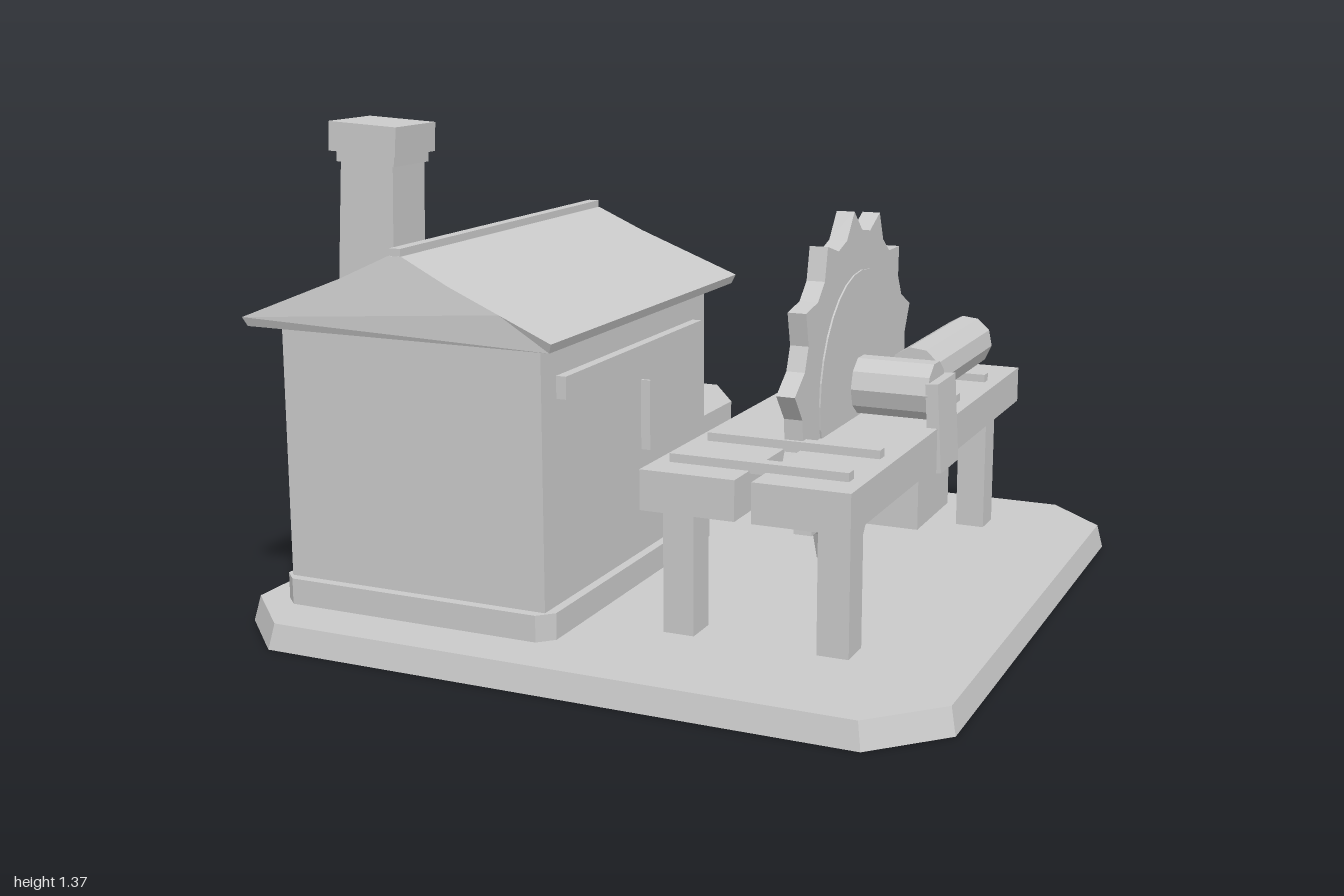
import * as THREE from 'three';

const material = new THREE.MeshStandardMaterial({ color: 0xcacaca, flatShading: true, side: THREE.DoubleSide });
material.name = 'plain grey';

export function createModel() {
  const model = new THREE.Group();
  model.name = 'sawmill';

  const add = (name, geometry, parent = model) => {
    const mesh = new THREE.Mesh(geometry, material);
    mesh.name = name;
    parent.add(mesh);
    return mesh;
  };
  // box from its limits on each axis
  const box = (name, x0, x1, y0, y1, z0, z1, parent) => {
    const g = new THREE.BoxGeometry(x1 - x0, y1 - y0, z1 - z0);
    g.translate((x0 + x1) / 2, (y0 + y1) / 2, (z0 + z1) / 2);
    return add(name, g, parent);
  };
  // move every vertex by a rule
  const bend = (g, rule) => {
    const p = g.attributes.position;
    const v = new THREE.Vector3();
    for (let i = 0; i < p.count; i++) {
      rule(v.fromBufferAttribute(p, i));
      p.setXYZ(i, v.x, v.y, v.z);
    }
    g.computeVertexNormals();
    return g;
  };
  // rectangle with cut corners
  const cutOutline = (w, d, cut) => {
    const a = w / 2, b = d / 2;
    return [[-a + cut, -b], [a - cut, -b], [a, -b + cut], [a, b - cut],
      [a - cut, b], [-a + cut, b], [-a, b - cut], [-a, -b + cut]].map(([x, y]) => new THREE.Vector2(x, y));
  };

  // Base: a hollow tray turned over, open below, slightly narrower at the top
  const base = new THREE.Group();
  base.name = 'base';
  model.add(base);
  const outline = cutOutline(2, 1.965, 0.175);
  const upper = outline.map((p) => p.clone().multiplyScalar(0.985));
  add('baseTop', new THREE.ShapeGeometry(new THREE.Shape(upper)).rotateX(-Math.PI / 2).translate(0, 0.07, 0), base);
  const rim = [];
  outline.forEach((p, i) => {
    const j = (i + 1) % outline.length;
    const a = [p.x, 0, -p.y], b = [outline[j].x, 0, -outline[j].y];
    const c = [upper[j].x, 0.07, -upper[j].y], d = [upper[i].x, 0.07, -upper[i].y];
    rim.push(...a, ...b, ...c, ...a, ...c, ...d);
  });
  const rimGeometry = new THREE.BufferGeometry();
  rimGeometry.setAttribute('position', new THREE.Float32BufferAttribute(rim, 3));
  rimGeometry.computeVertexNormals();
  add('baseRim', rimGeometry, base);

  // House
  const house = new THREE.Group();
  house.name = 'house';
  model.add(house);
  const plinth = new THREE.ExtrudeGeometry(new THREE.Shape(cutOutline(0.828, 1.065, 0.04)),
    { depth: 0.077, bevelEnabled: false });
  add('plinth', plinth.rotateX(-Math.PI / 2).translate(-0.486, 0.065, 0.285), house);
  box('walls', -0.877, -0.098, 0.1, 0.85, -0.225, 0.79, house);

  // Roof with a gentle sag and gables that lean inwards
  const half = [[0.45, 0.84], [0.46, 0.865], [0.31, 0.925], [0.16, 0.985], [0.02, 1.05]];
  const roofPts = [...half, ...half.map(([x, y]) => [-x, y]).reverse()];
  const roofShape = new THREE.Shape(roofPts.map(([x, y]) => new THREE.Vector2(x, y)));
  const roof = new THREE.ExtrudeGeometry(roofShape, { depth: 1, bevelEnabled: false });
  add('roof', bend(roof, (v) => {
    const reach = v.y < 0.85 ? 0.573 : 0.583 - (v.y - 0.865) * 0.16;
    v.z = 0.283 + (v.z > 0.5 ? reach : -reach);
    v.x -= 0.487;
  }), house);
  box('ridgeBeam', -0.503, -0.471, 1.03, 1.07, -0.272, 0.835, house);

  // Narrow shutters and wall plank
  box('sideShutter', -0.11, -0.07, 0.44, 0.64, 0.205, 0.213, house);
  box('backShutter', -0.234, -0.226, 0.44, 0.64, -0.24, -0.22, house);
  box('wallPlank', -0.11, -0.07, 0.69, 0.75, -0.14, 0.71, house);

  // Back door
  box('door', -0.66, -0.47, 0.1, 0.6, -0.235, -0.22, house);
  box('doorPost', -0.73, -0.655, 0.08, 0.85, -0.26, -0.22, house);
  box('doorPost', -0.5, -0.44, 0.08, 0.6, -0.26, -0.22, house);
  box('doorLintel', -0.745, -0.44, 0.585, 0.645, -0.315, -0.22, house);
  box('doorKnob', -0.655, -0.63, 0.4, 0.425, -0.26, -0.23, house);
  box('doorStep', -0.73, -0.44, 0.07, 0.12, -0.258, -0.22, house);

  // Leaning chimney with collar, cap and stove pipe
  const chimney = new THREE.Group();
  chimney.name = 'chimney';
  model.add(chimney);
  const shaft = new THREE.BoxGeometry(1, 0.4, 1).translate(0, 1.07, 0);
  add('chimneyShaft', bend(shaft, (v) => {
    const top = v.y > 1;
    v.x = top ? -0.677 + v.x * 0.161 : -0.695 + v.x * 0.175;
    v.z = 0.585 + v.z * 0.155;
  }), chimney);
  const tilted = (name, w, h, d, x, y) => {
    const mesh = add(name, new THREE.BoxGeometry(w, h, d), chimney);
    mesh.position.set(x, y, 0.585);
    mesh.rotation.z = -0.05;
  };
  tilted('chimneyCollar', 0.178, 0.03, 0.17, -0.677, 1.275);
  tilted('chimneyCap', 0.207, 0.078, 0.195, -0.677, 1.327);
  add('stovePipe', new THREE.CylinderGeometry(0.045, 0.045, 0.25, 8).translate(-0.72, 1.06, 0.52), chimney);
  add('stovePipeCap', new THREE.CylinderGeometry(0.065, 0.065, 0.04, 8).translate(-0.72, 1.195, 0.52), chimney);

  // Saw table, split along the middle
  const table = new THREE.Group();
  table.name = 'sawTable';
  model.add(table);
  box('tableTop', 0.13, 0.39, 0.42, 0.527, -0.89, 0.7, table);
  box('tableTop', 0.435, 0.695, 0.42, 0.527, -0.89, 0.7, table);
  box('motorBox', 0.13, 0.695, 0.285, 0.43, -0.13, 0.155, table);
  for (const x of [0.198, 0.622]) {
    for (const z of [0.565, -0.68]) {
      box('tableLeg', x - 0.043, x + 0.043, 0.067, 0.43, z - 0.048, z + 0.048, table);
    }
  }
  for (const z of [0.585, 0.345, -0.35, -0.655]) {
    box('crossStrip', 0.17, 0.655, 0.52, 0.55, z - 0.018, z + 0.018, table);
  }

  // Saw blade with raked teeth
  const saw = new THREE.Group();
  saw.name = 'saw';
  saw.position.set(0, 0.615, -0.08);
  model.add(saw);
  const teeth = 14;
  const bladePts = [];
  for (let i = 0; i < teeth; i++) {
    const tip = (i * 2 * Math.PI) / teeth + 0.32;
    for (const [r, turn] of [[0.435, -0.3], [0.437, -0.14], [0.497, 0]]) {
      bladePts.push(new THREE.Vector2(r * Math.cos(tip + turn), r * Math.sin(tip + turn)));
    }
  }
  const blade = new THREE.ExtrudeGeometry(new THREE.Shape(bladePts), { depth: 0.052, bevelEnabled: false });
  add('sawBlade', blade.rotateY(Math.PI / 2).translate(0.386, 0, 0), saw);
  const drum = (name, r, x0, x1, sides) => add(name,
    new THREE.CylinderGeometry(r, r, x1 - x0, sides).rotateZ(Math.PI / 2).translate((x0 + x1) / 2, 0, -0.012), saw);
  drum('bladeDisc', 0.325, 0.42, 0.443, 32);
  drum('axle', 0.083, 0.357, 0.665, 10);
  const bracket = box('axleBracket', -0.018, 0.018, -0.125, 0.125, -0.085, 0.085, saw);
  bracket.position.set(0.683, -0.09, -0.015);
  bracket.rotation.z = 0.06;

  // Logs lying along z
  const log = (name, x, y, z0, z1, r, turn, sides = 8) => {
    const g = new THREE.CylinderGeometry(r, r, z1 - z0, sides).rotateX(Math.PI / 2).rotateZ(turn);
    add(name, g.translate(x, y, (z0 + z1) / 2));
    const core = new THREE.CylinderGeometry(r * 0.3, r * 0.3, z1 - z0 + 0.008, 6).rotateX(Math.PI / 2);
    add(name + 'Core', core.translate(x, y, (z0 + z1) / 2));
  };
  log('tableLog', 0.537, 0.608, -0.85, -0.3, 0.081, 0.2, 10);
  log('pileLog', -0.575, 0.165, -0.76, -0.31, 0.098, 0.3);
  log('pileLog', -0.42, 0.155, -0.81, -0.33, 0.09, 0.1);
  log('pileLog', -0.263, 0.16, -0.74, -0.31, 0.095, 0.5);
  log('pileLog', -0.5, 0.32, -0.76, -0.33, 0.095, 0.2);
  log('pileLog', -0.335, 0.315, -0.79, -0.36, 0.095, 0.39);
  for (const side of [-1, 1]) {
    const stake = box('pileStake', -0.016, 0.016, -0.12, 0.12, -0.016, 0.016);
    stake.position.set(-0.41 + side * 0.255, 0.185, -0.462);
    stake.rotation.x = 0.05;
  }

  return model;
}
